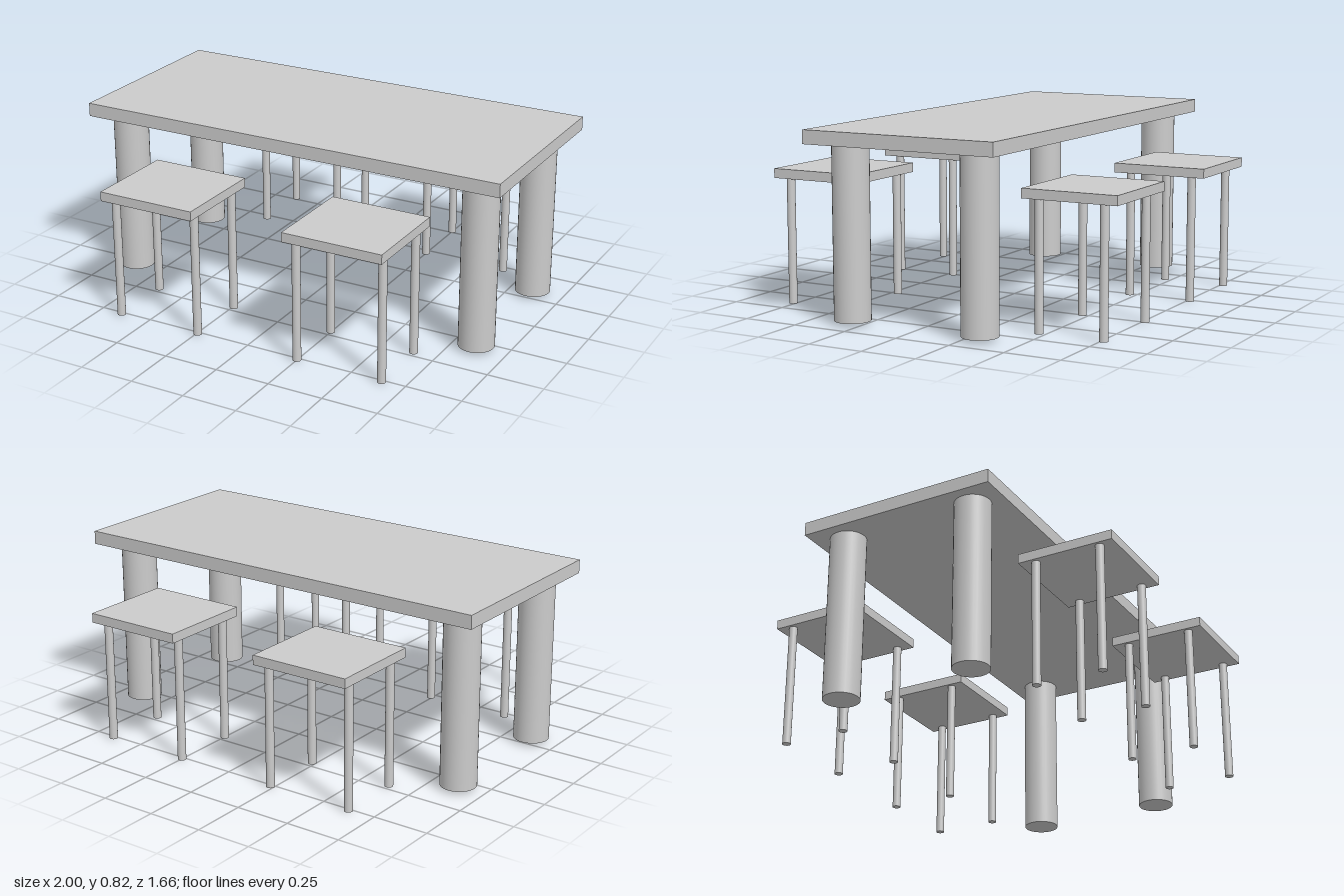
import * as THREE from 'three';

const material = new THREE.MeshStandardMaterial({ color: 0xcccccc });

function box(name, w, h, d, x, y, z) {
  const mesh = new THREE.Mesh(new THREE.BoxGeometry(w, h, d), material);
  mesh.name = name;
  mesh.position.set(x, y, z);
  return mesh;
}

// Upright round leg between two heights
function leg(name, radius, bottom, top, x, z) {
  const mesh = new THREE.Mesh(new THREE.CylinderGeometry(radius, radius, top - bottom, 32), material);
  mesh.name = name;
  mesh.position.set(x, (bottom + top) / 2, z);
  return mesh;
}

function createTable() {
  const table = new THREE.Group();
  table.name = 'table';
  table.add(box('tableTop', 2, 0.06, 0.898, 0, 0.795, -0.005));
  // Thick column legs
  for (const x of [-0.876, 0.86]) {
    for (const z of [-0.313, 0.302]) table.add(leg('tableLeg', 0.079, 0.015, 0.765, x, z));
  }
  return table;
}

function createStool(name, x, z) {
  const stool = new THREE.Group();
  stool.name = name;
  stool.position.set(x, 0, z);
  stool.add(box('seat', 0.456, 0.042, 0.431, 0, 0.58, 0));
  // Slim legs set in from the seat corners
  for (const sx of [-1, 1]) {
    for (const sz of [-1, 1]) stool.add(leg('stoolLeg', 0.0185, 0, 0.56, sx * 0.199, sz * 0.147));
  }
  return stool;
}

export function createModel() {
  const model = new THREE.Group();
  model.name = 'diningSet';
  model.add(createTable());
  model.add(createStool('frontLeftStool', 0.448, 0.616));
  model.add(createStool('frontRightStool', -0.443, 0.616));
  model.add(createStool('backLeftStool', 0.448, -0.616));
  model.add(createStool('backRightStool', -0.433, -0.616));
  return model;
}
